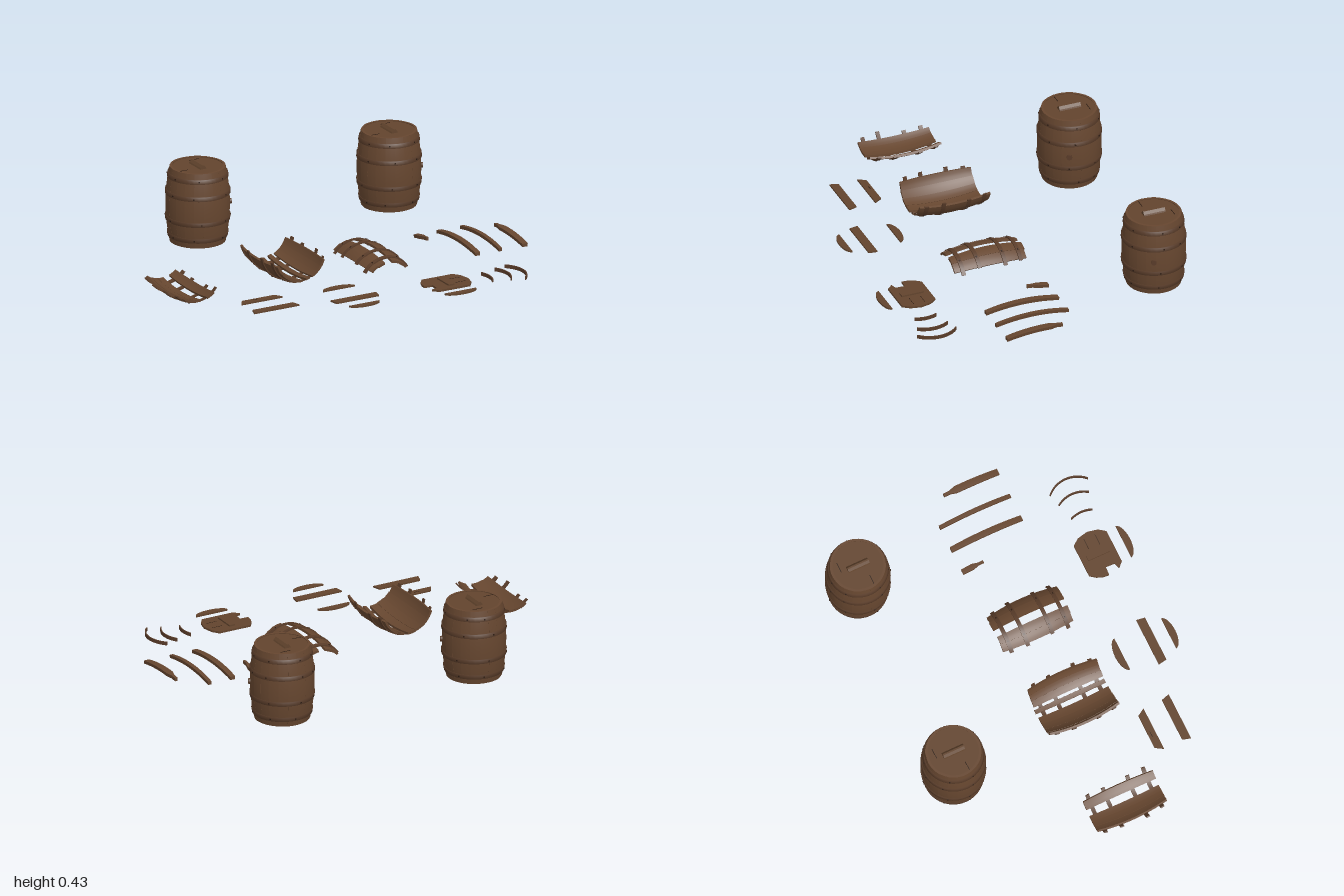
import * as THREE from 'three';

const material = (name, color) => {
  const m = new THREE.MeshStandardMaterial({ color });
  m.name = name;
  return m;
};

const HALF = 0.195; // half the length of a stave
const HOOPS = [-0.155, -0.068, 0.068, 0.155];
const radiusAt = (z) => 0.16 - 0.021 * (z / HALF) ** 2;

let seed = 7;
const vary = (amount) => {
  seed = (seed * 16807) % 2147483647;
  return (seed / 2147483647 - 0.5) * 2 * amount;
};

// Slab bent round the z axis and bulged along it; angle 0 points up
function bentSlab(a0, a1, z0, z1, outset, thick, taper = () => 1) {
  const nu = Math.max(1, Math.ceil((a1 - a0) / 0.12));
  const nz = Math.max(1, Math.ceil((z1 - z0) / 0.035));
  const flat = new THREE.BoxGeometry(1, 1, 1, nu, 1, nz);
  const p = flat.attributes.position;
  for (let i = 0; i < p.count; i++) {
    const z = z0 + (p.getZ(i) + 0.5) * (z1 - z0);
    const a = (a0 + a1) / 2 + p.getX(i) * (a1 - a0) * taper(z);
    const r = radiusAt(z) + outset + (p.getY(i) - 0.5) * thick;
    p.setXYZ(i, r * Math.sin(a), r * Math.cos(a), z);
  }
  flat.computeVertexNormals();
  return flat;
}

// Flat board cut from an outline of [x, z] points, lying at height y
function boardGeometry(points, y, thick) {
  const shape = new THREE.Shape(points.map(([x, z]) => new THREE.Vector2(x, -z)));
  const g = new THREE.ExtrudeGeometry(shape, { depth: thick, bevelEnabled: false });
  return g.rotateX(-Math.PI / 2).translate(0, y, 0);
}

// Outline of a shallow circle segment; dir -1 bulges to the back
function segmentOutline(cx, zChord, halfWidth, depth, dir) {
  const pts = [];
  for (let i = 0; i <= 14; i++) {
    const a = (i / 14) * Math.PI;
    pts.push([cx - halfWidth * Math.cos(a), zChord + dir * depth * Math.sin(a)]);
  }
  return pts;
}

// Low ridged grip along z
function gripGeometry() {
  const s = new THREE.Shape();
  s.moveTo(-0.018, 0);
  s.lineTo(0.018, 0);
  s.lineTo(0.015, 0.007);
  s.lineTo(0.004, 0.02);
  s.lineTo(-0.004, 0.02);
  s.lineTo(-0.015, 0.007);
  const g = new THREE.ExtrudeGeometry(s, { depth: 0.115, bevelEnabled: false });
  return g.translate(0, 0, -0.0575);
}

export function createModel() {
  const wood = material('stave wood', 0x66462f);
  const lidWood = material('lid wood', 0x62442d);
  const band = material('hoop brown', 0x593c29);
  const dark = material('dark nail', 0x2b1b12);

  const model = new THREE.Group();
  model.name = 'barrelSet';
  const add = (parent, name, geometry, mat) => {
    const mesh = new THREE.Mesh(geometry, mat);
    mesh.name = name;
    parent.add(mesh);
    return mesh;
  };
  const addNail = (parent, a, z) =>
    add(parent, 'nail', bentSlab(a - 0.022, a + 0.022, z - 0.003, z + 0.003, 0.0075, 0.004), dark);

  // Whole barrels
  function barrel(x, z) {
    const g = new THREE.Group();
    g.name = 'barrel';
    g.position.set(x, 0.215, z);
    const body = new THREE.Group();
    body.name = 'barrelBody';
    body.rotation.x = -Math.PI / 2;
    g.add(body);
    const count = 20, step = (Math.PI * 2) / count;
    for (let i = 0; i < count; i++) {
      add(body, 'stave', bentSlab(i * step, (i + 1) * step, -HALF, HALF, vary(0.001), 0.012), wood);
    }
    for (const h of HOOPS) {
      const pts = [[-0.011, -0.002], [-0.011, 0.005], [0.011, 0.005], [0.011, -0.002]]
        .map(([d, o]) => new THREE.Vector2(radiusAt(h + d) + o, h + d));
      add(g, 'hoop', new THREE.LatheGeometry(pts, 40), band);
      for (let k = 0; k < 7; k++) addNail(body, k * 0.9 + vary(0.2), h);
    }
    add(g, 'lid', new THREE.CylinderGeometry(0.132, 0.132, 0.012, 40), lidWood).position.y = 0.185;
    add(g, 'base', new THREE.CylinderGeometry(0.132, 0.132, 0.012, 40), lidWood).position.y = -0.185;
    add(g, 'lidGrip', gripGeometry(), lidWood).position.y = 0.191;
    // cracks in the lid
    for (const [cx, cz] of [[0.03, -0.09], [-0.1, 0.03]]) {
      add(g, 'lidCrack', new THREE.BoxGeometry(0.055, 0.002, 0.003), dark).position.set(cx, 0.1915, cz);
    }
    // bung on the side
    const bung = add(g, 'bung', new THREE.CylinderGeometry(0.014, 0.014, 0.016, 16), band);
    const dir = new THREE.Vector3(0.148, 0, 0.06).normalize();
    bung.position.copy(dir).multiplyScalar(0.161);
    bung.quaternion.setFromUnitVectors(new THREE.Vector3(0, 1, 0), dir);
    model.add(g);
  }
  barrel(-0.375, -0.59);
  barrel(0.715, -0.59);

  // Broken barrel sides: stave ranges are angles from the middle, left to right
  function brokenSide(name, x, y, hollowUp, ranges, hoopFrom, hoopTo) {
    const g = new THREE.Group();
    g.name = name;
    g.position.set(x, y, 0.113);
    const span = (a, b) => (hollowUp ? [Math.PI - b, Math.PI - a] : [a, b]);
    for (const [from, to] of ranges) {
      const n = Math.max(1, Math.round((to - from) / 0.29));
      const step = (to - from) / n;
      for (let i = 0; i < n; i++) {
        const [a, b] = span(from + i * step, from + (i + 1) * step);
        add(g, 'stave', bentSlab(a, b, -HALF + Math.abs(vary(0.006)), HALF - Math.abs(vary(0.006)),
          vary(0.0015), 0.012), wood);
      }
    }
    for (const h of HOOPS) {
      const [a, b] = span(hoopFrom + vary(0.09), hoopTo + vary(0.09));
      add(g, 'hoopPiece', bentSlab(a, b, h - 0.01, h + 0.01, 0.005, 0.007), band);
      for (const [from, to] of ranges) {
        const [c, d] = span(from, to);
        addNail(g, (c + d) / 2 + vary(0.05), h);
      }
    }
    model.add(g);
  }
  brokenSide('brokenSideSmall', -0.875, 0.19, true, [[-0.66, 0.1], [0.36, 0.7]], -0.86, 0.84);
  brokenSide('brokenSideLarge', -0.29, 0.195, true, [[-1.27, 0.03], [0.2, 0.36], [0.46, 1.24]], -1.38, 1.36);
  brokenSide('brokenSideArched', 0.21, -0.06, false, [[-0.8, -0.19], [0.09, 0.8]], -0.9, 0.92);

  // Loose staves, two of them snapped to a point
  const staves = [
    { x: 0.58, half: 0.1, z0: -HALF, z1: -0.08, taper: (z) => (z > -0.12 ? 0.4 : 1) },
    { x: 0.71, half: 0.1, z0: -HALF, z1: HALF },
    { x: 0.84, half: 0.07, z0: -HALF, z1: HALF },
    { x: 0.98, half: 0.115, z0: -0.105, z1: HALF, taper: (z) => (z < -0.06 ? 0.45 : 1) },
  ];
  for (const s of staves) {
    const m = add(model, 'looseStave', bentSlab(-s.half, s.half, s.z0, s.z1, 0, 0.017, s.taper), wood);
    m.position.set(s.x, -0.1, 0.115);
  }

  // Loose lid boards
  const boards = [
    [[-0.67, 0.375], [-0.485, 0.375], [-0.46, 0.415], [-0.695, 0.415]],
    [[-0.69, 0.517], [-0.46, 0.517], [-0.447, 0.56], [-0.703, 0.56]],
    segmentOutline(-0.155, 0.445, 0.09, 0.038, -1),
    [[-0.283, 0.585], [-0.025, 0.585], [-0.032, 0.63], [-0.275, 0.63]],
    segmentOutline(-0.157, 0.7, 0.086, 0.036, 1),
  ];
  for (const b of boards) add(model, 'lidBoard', boardGeometry(b, 0.036, 0.008), lidWood);
  add(model, 'boardCrack', new THREE.BoxGeometry(0.03, 0.002, 0.003), dark).position.set(-0.6, 0.044, 0.39);

  // Broken lid with its grip and cut-off edge
  const brokenLid = [
    [0.295, 0.48], [0.47, 0.48], [0.496, 0.515], [0.508, 0.57], [0.496, 0.625], [0.47, 0.66],
    [0.295, 0.66], [0.268, 0.632], [0.3, 0.622], [0.302, 0.575], [0.257, 0.572], [0.26, 0.54], [0.272, 0.51],
  ];
  add(model, 'brokenLid', boardGeometry(brokenLid, 0.01, 0.01), lidWood);
  add(model, 'lidEdge', boardGeometry(segmentOutline(0.384, 0.712, 0.089, 0.036, 1), 0.01, 0.009), lidWood);
  add(model, 'brokenLidGrip', new THREE.BoxGeometry(0.032, 0.028, 0.118), lidWood).position.set(0.381, 0.014, 0.57);
  for (const z of [0.54, 0.6]) {
    add(model, 'lidCrack', new THREE.BoxGeometry(0.06, 0.002, 0.002), dark).position.set(0.45, 0.02, z);
  }

  // Loose hoop pieces standing on edge, bowed to the left
  for (const [x, z, angle] of [[0.62, 0.59, 0.42], [0.725, 0.59, 0.62], [0.81, 0.595, 0.82]]) {
    const s = new THREE.Shape();
    s.absarc(0, 0, 0.145, -angle, angle, false);
    s.absarc(0, 0, 0.139, angle, -angle, true);
    const g = new THREE.ExtrudeGeometry(s, { depth: 0.018, bevelEnabled: false, curveSegments: 14 });
    g.rotateX(-Math.PI / 2);
    add(model, 'looseHoop', g, band).position.set(x - 0.145, 0.004, z);
  }
  return model;
}
